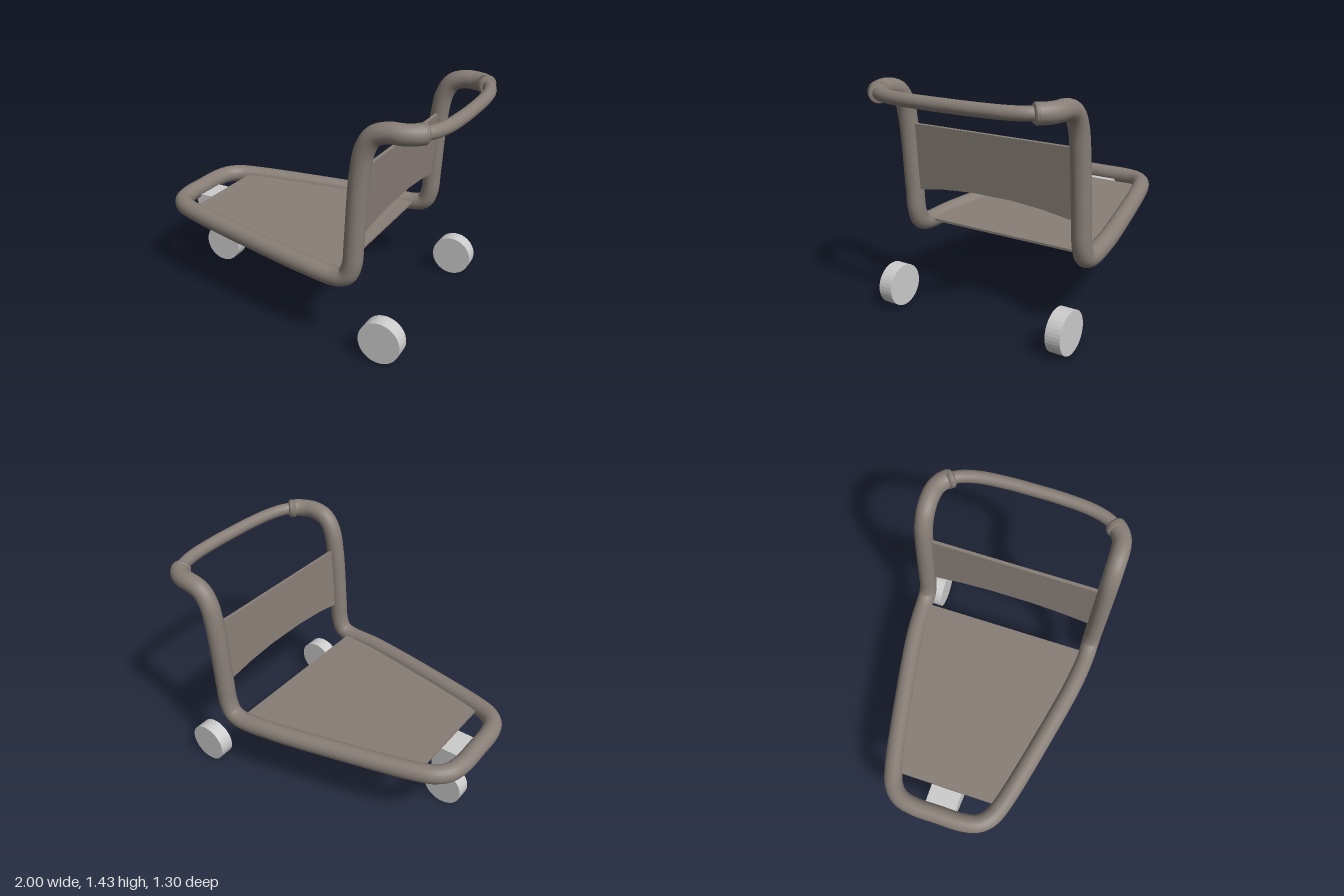
import * as THREE from 'three';

const brown = new THREE.MeshStandardMaterial({ color: 0x887e77 });
const grey = new THREE.MeshStandardMaterial({ color: 0xcccccc });
const greyFlat = new THREE.MeshStandardMaterial({ color: 0xcccccc, flatShading: true });

function part(name, geometry, material) {
  const mesh = new THREE.Mesh(geometry, material);
  mesh.name = name;
  return mesh;
}

// Full path from one half: the +z half, then its mirror image in reverse
function mirroredCurve(half) {
  const a = half.map(([x, y, z]) => new THREE.Vector3(x, y, z));
  const b = half.filter(p => p[2] > 0).reverse().map(([x, y, z]) => new THREE.Vector3(x, y, -z));
  return new THREE.CatmullRomCurve3([...a, ...b], false, 'centripetal');
}

// Prism from a 2D outline, centred on its depth
function slab(points, depth) {
  const shape = new THREE.Shape(points.map(([x, y]) => new THREE.Vector2(x, y)));
  const g = new THREE.ExtrudeGeometry(shape, { depth, bevelEnabled: false });
  return g.translate(0, 0, -depth / 2);
}

export function createModel() {
  const model = new THREE.Group();
  model.name = 'pushCart';

  // Main bent tube: handle end, upright, deck side, round the nose and back
  const frame = mirroredCurve([
    [0.875, 1.367, 0.525], [0.845, 1.367, 0.555], [0.79, 1.367, 0.582], [0.72, 1.367, 0.59],
    [0.635, 1.338, 0.59], [0.585, 1.26, 0.59], [0.556, 1.1, 0.59], [0.532, 0.7, 0.59],
    [0.522, 0.56, 0.59], [0.49, 0.485, 0.59], [0.42, 0.46, 0.59], [0.2, 0.47, 0.57],
    [-0.17, 0.487, 0.5], [-0.77, 0.512, 0.36], [-0.86, 0.516, 0.32], [-0.915, 0.518, 0.26],
    [-0.94, 0.519, 0.16], [-0.942, 0.519, 0]
  ]);
  model.add(part('frameTube', new THREE.TubeGeometry(frame, 220, 0.058, 20), brown));

  // Thinner push handle
  const handle = mirroredCurve([
    [0.865, 1.367, 0.53], [0.905, 1.367, 0.475], [0.94, 1.367, 0.36], [0.957, 1.367, 0.18], [0.96, 1.367, 0]
  ]);
  model.add(part('pushHandle', new THREE.TubeGeometry(handle, 64, 0.039, 20), brown));

  // Collars closing the frame tube around the handle
  for (const s of [1, -1]) {
    const profile = [[0, -0.02], [0.058, -0.02], [0.06, 0.012], [0.05, 0.026], [0, 0.026]];
    const collar = part(s > 0 ? 'leftCollar' : 'rightCollar',
      new THREE.LatheGeometry(profile.map(([r, y]) => new THREE.Vector2(r, y)), 20), brown);
    collar.position.set(0.872, 1.367, 0.522 * s);
    collar.quaternion.setFromUnitVectors(new THREE.Vector3(0, 1, 0),
      new THREE.Vector3(0.72, 0, -0.69 * s).normalize());
    model.add(collar);
  }

  // Tapered deck, sloping gently up to the nose
  const side = [[-0.77, 0.36], [-0.17, 0.5], [0.2, 0.57], [0.42, 0.59]];
  const outline = [...side, ...side.map(([x, z]) => [x, -z]).reverse()];
  const deckGeometry = slab(outline, 0.015).rotateX(-Math.PI / 2);
  const deck = part('deck', deckGeometry, brown);
  deck.rotation.z = -0.04;
  deck.position.y = 0.487;
  model.add(deck);

  // Back panel with arched lower edge, leaning with the uprights
  const arch = [[-0.59, 0.69], [-0.53, 0.71], [-0.35, 0.738], [-0.14, 0.755],
    [0.14, 0.755], [0.35, 0.738], [0.53, 0.71], [0.59, 0.69]];
  const panelGeometry = slab([...arch, [0.59, 1.13], [-0.59, 1.13]], 0.022)
    .rotateY(Math.PI / 2).translate(0, -0.9, 0);
  const panel = part('backPanel', panelGeometry, brown);
  panel.rotation.z = -0.055;
  panel.position.set(0.545, 0.9, 0);
  model.add(panel);

  // Nose wheel bracket
  model.add(part('wheelBracket',
    slab([[-0.925, 0.375], [-0.705, 0.245], [-0.705, 0.5], [-0.925, 0.5]], 0.2), grey));

  // Three wheels
  for (const [name, x, z] of [['noseWheel', -0.767, 0], ['leftWheel', 0.72, 0.593], ['rightWheel', 0.72, -0.593]]) {
    const wheel = part(name, new THREE.CylinderGeometry(0.13, 0.13, 0.095, 36).rotateX(Math.PI / 2), greyFlat);
    wheel.position.set(x, 0.13, z);
    model.add(wheel);
  }
  return model;
}
